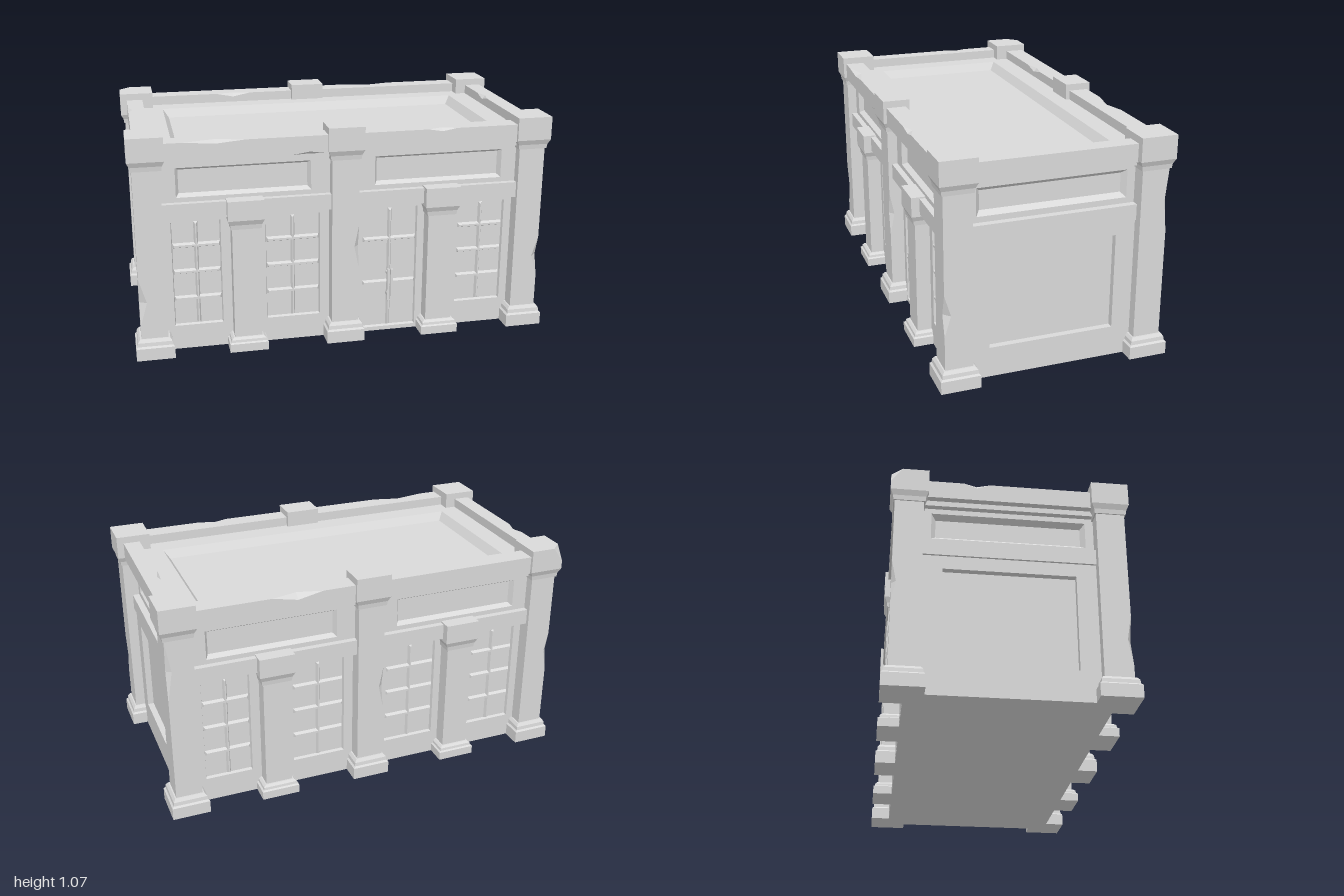
import * as THREE from 'three';
import { mergeGeometries } from 'three/addons/utils/BufferGeometryUtils.js';

const stone = new THREE.MeshStandardMaterial({ color: 0xd9d9d9 });
stone.name = 'stone grey';

function add(parent, name, geometry, x = 0, y = 0, z = 0) {
  const mesh = new THREE.Mesh(geometry, stone);
  mesh.name = name;
  mesh.position.set(x, y, z);
  parent.add(mesh);
  return mesh;
}

function box(parent, name, x0, x1, y0, y1, z0, z1) {
  return add(parent, name, new THREE.BoxGeometry(x1 - x0, y1 - y0, z1 - z0),
    (x0 + x1) / 2, (y0 + y1) / 2, (z0 + z1) / 2);
}

// Flat-shaded geometry from polygons, each a counter-clockwise list of points
function facets(polygons) {
  const pos = [];
  for (const p of polygons) {
    for (let i = 1; i < p.length - 1; i++) pos.push(...p[0], ...p[i], ...p[i + 1]);
  }
  const g = new THREE.BufferGeometry();
  g.setAttribute('position', new THREE.Float32BufferAttribute(pos, 3));
  g.computeVertexNormals();
  return g;
}

// Rectangular section w x d lofted along y through levels [y, margin].
// Each chip { sx, sz, at, half, cutX, cutZ } bites into one long edge.
function loft(levels, w, d, chips = []) {
  const rows = levels.map((l) => [...l]);
  for (const c of chips) {
    for (const y of [c.at - c.half, c.at, c.at + c.half]) {
      const i = rows.findIndex((r, k) => k > 0 && rows[k - 1][0] < y && y < r[0]);
      if (i < 0) continue;
      const [a, b] = [rows[i - 1], rows[i]];
      rows.splice(i, 0, [y, a[1] + (b[1] - a[1]) * (y - a[0]) / (b[0] - a[0])]);
    }
  }
  const corners = [[1, 1], [1, -1], [-1, -1], [-1, 1]];
  const rings = rows.map(([y, m]) => corners.flatMap(([sx, sz]) => {
    let cutX = 0, cutZ = 0;
    for (const c of chips) {
      if (c.sx !== sx || c.sz !== sz) continue;
      const bite = Math.max(0, 1 - Math.abs(y - c.at) / c.half);
      cutX += c.cutX * bite;
      cutZ += c.cutZ * bite;
    }
    const X = w / 2 + m, Z = d / 2 + m;
    const alongX = [sx * (X - cutX), y, sz * Z], alongZ = [sx * X, y, sz * (Z - cutZ)];
    return sx === sz ? [alongX, alongZ] : [alongZ, alongX];
  }));
  const polys = [[...rings[0]].reverse(), rings[rings.length - 1]];
  for (let k = 0; k < rings.length - 1; k++) {
    for (let i = 0; i < 8; i++) {
      const j = (i + 1) % 8;
      polys.push([rings[k][i], rings[k][j], rings[k + 1][j], rings[k + 1][i]]);
    }
  }
  return facets(polys);
}

// Wall face in the xy plane with recessed panels [x0, x1, y0, y1, bevel, depth]
function recessedFace(x0, x1, y0, y1, holes) {
  const rect = (a, b, c, d, z) => [[a, c, z], [b, c, z], [b, d, z], [a, d, z]];
  const path = (pts, T) => new T(pts.map((p) => new THREE.Vector2(p[0], p[1])));
  const shape = path(rect(x0, x1, y0, y1, 0), THREE.Shape);
  const polys = [];
  for (const [a, b, c, d, bevel, depth] of holes) {
    const outer = rect(a, b, c, d, 0);
    const inner = rect(a + bevel, b - bevel, c + bevel, d - bevel, -depth);
    shape.holes.push(path([...outer].reverse(), THREE.Path));
    polys.push(inner);
    for (let i = 0; i < 4; i++) {
      const j = (i + 1) % 4;
      polys.push([outer[i], outer[j], inner[j], inner[i]]);
    }
  }
  const flat = new THREE.ShapeGeometry(shape).toNonIndexed();
  flat.deleteAttribute('uv');
  return mergeGeometries([flat, facets(polys)]);
}

// Moulded foot and capital around a plain shaft
function columnLevels(foot, top, capHeight) {
  const under = top - capHeight;
  return [
    [0, 0.027], [foot * 0.6, 0.027], [foot * 0.68, 0.019], [foot * 0.86, 0.017], [foot, 0.007], [foot, 0],
    [under - 0.046, 0], [under - 0.046, 0.006], [under - 0.024, 0.009], [under, 0.02], [top, 0.02],
  ];
}

// Glazing bar with chamfered edges, facing +z
function glazingBar(parent, name, x, y, w, h) {
  const g = loft([[0, 0.003], [0.016, -0.004]], w, h).rotateX(Math.PI / 2);
  add(parent, name, g, x, y, 0.434);
}

// Long facade, facing +z
function facade(hasDoor) {
  const g = new THREE.Group();
  const windows = [[-0.81, -0.58], [-0.37, -0.11], [0.575, 0.81]];
  if (!hasDoor) windows.push([0.11, 0.37]);
  const openings = windows.map(([a, b]) => [a, b, 0.12, 0.64, 0.004, 0.016]);
  if (hasDoor) openings.push([0.1, 0.37, 0.02, 0.64, 0.004, 0.016]);
  add(g, 'lowerWall', recessedFace(-0.92, 0.92, 0, 0.67, openings), 0, 0, 0.45);
  add(g, 'upperWall', recessedFace(-0.9, 0.9, 0.74, 0.94, [
    [-0.78, -0.155, 0.765, 0.905, 0.014, 0.025], [0.15, 0.775, 0.765, 0.905, 0.014, 0.025],
  ]), 0, 0, 0.472);
  box(g, 'beam', -0.9, 0.9, 0.668, 0.743, 0.4, 0.5);
  box(g, 'corniceMoulding', -0.9, 0.9, 0.925, 0.95, 0.42, 0.495);

  for (const [a, b] of windows) {
    glazingBar(g, 'windowBar', (a + b) / 2, 0.38, 0.014, 0.505);
    for (const y of [0.255, 0.39, 0.52]) glazingBar(g, 'windowBar', (a + b) / 2, y, b - a - 0.014, 0.018);
  }
  if (hasDoor) {
    glazingBar(g, 'doorStile', 0.235, 0.33, 0.014, 0.605);
    for (const y of [0.255, 0.48]) glazingBar(g, 'doorRail', 0.235, y, 0.256, 0.016);
    for (const x of [0.227, 0.243]) {
      box(g, 'doorHandle', x - 0.006, x + 0.006, 0.17, 0.33, 0.462, 0.475);
      for (const y of [0.195, 0.305]) box(g, 'handleMount', x - 0.005, x + 0.005, y - 0.006, y + 0.006, 0.43, 0.465);
    }
  }

  // Short pilasters and the tall centre column
  for (const s of [-1, 1]) {
    add(g, 'pilaster', loft(columnLevels(0.068, 0.75, 0.094), 0.13, 0.09), s * 0.47, 0, 0.474);
  }
  add(g, 'centreColumn', loft(columnLevels(0.1, 1.068, 0.11), 0.13, 0.09, [
    { sx: 1, sz: 1, at: 0.48, half: 0.11, cutX: 0.022, cutZ: 0.022 },
  ]), 0, 0, 0.474);
  return g;
}

// Short end wall, facing +z
function endWall() {
  const g = new THREE.Group();
  add(g, 'endLowerWall', recessedFace(-0.45, 0.45, 0, 0.67, [[-0.297, 0.297, 0.145, 0.604, 0, 0.03]]), 0, 0, 0.925);
  add(g, 'endUpperWall', recessedFace(-0.44, 0.44, 0.74, 0.94, [[-0.35, 0.35, 0.77, 0.9, 0.02, 0.025]]), 0, 0, 0.903);
  box(g, 'endBeam', -0.43, 0.43, 0.668, 0.743, 0.86, 0.935);
  box(g, 'endCorniceMoulding', -0.43, 0.43, 0.925, 0.95, 0.86, 0.93);
  return g;
}

export function createModel() {
  const model = new THREE.Group();
  model.name = 'building';

  [['frontFacade', facade(true), 0], ['backFacade', facade(false), Math.PI],
    ['leftEnd', endWall(), Math.PI / 2], ['rightEnd', endWall(), -Math.PI / 2]].forEach(([name, g, turn]) => {
    g.name = name;
    g.rotation.y = turn;
    model.add(g);
  });

  // Corner columns with worn edges
  const wear = [
    [1, 1, [{ at: 0.36, half: 0.1, cutX: 0.03, cutZ: 0.03 }]],
    [-1, 1, [{ at: 0.28, half: 0.12, cutX: 0.035, cutZ: 0.02 }]],
    [1, -1, [{ at: 0.76, half: 0.15, cutX: 0.025, cutZ: 0.015 }]],
    [-1, -1, [{ at: 1.068, half: 0.07, cutX: 0.05, cutZ: 0.05 }, { at: 0.5, half: 0.1, cutX: 0.02, cutZ: 0.02 }]],
  ];
  for (const [sx, sz, chips] of wear) {
    const shaft = loft(columnLevels(0.1, 1.068, 0.11), 0.126, 0.13, chips.map((c) => ({ sx, sz, ...c })));
    add(model, 'cornerColumn', shaft, sx * 0.91, 0, sz * 0.453);
  }

  // Parapet; in the lying bars sx = -1 (long) or sz = -1 (short) is the top edge
  const longBar = (chips) => loft([[-0.9, 0], [0.9, 0]], 0.085, 0.095, chips).rotateZ(-Math.PI / 2);
  const shortBar = (chips) => loft([[-0.45, 0], [0.45, 0]], 0.08, 0.085, chips).rotateX(Math.PI / 2);
  add(model, 'frontParapet', longBar([
    { sx: -1, sz: 1, at: -0.6, half: 0.14, cutX: 0.012, cutZ: 0.035 },
    { sx: -1, sz: 1, at: 0.46, half: 0.07, cutX: 0.012, cutZ: 0.025 },
    { sx: 1, sz: 1, at: -0.17, half: 0.08, cutX: 0.012, cutZ: 0.012 },
  ]), 0, 0.9925, 0.4755);
  add(model, 'backParapet', longBar([
    { sx: -1, sz: 1, at: -0.4, half: 0.09, cutX: 0.018, cutZ: 0.018 },
    { sx: -1, sz: -1, at: 0.36, half: 0.12, cutX: 0.025, cutZ: 0.03 },
  ]), 0, 0.9925, -0.4755);
  add(model, 'leftParapet', shortBar([{ sx: -1, sz: -1, at: -0.1, half: 0.07, cutX: 0.018, cutZ: 0.018 }]), 0.92, 0.9925, 0);
  add(model, 'rightParapet', shortBar([{ sx: -1, sz: -1, at: -0.15, half: 0.06, cutX: 0.022, cutZ: 0.022 }]), -0.92, 0.9925, 0);

  // Sunken roof deck and floor
  const deck = recessedFace(-0.93, 0.93, -0.47, 0.47, [[-0.78, 0.775, -0.325, 0.33, 0.028, 0.04]]);
  add(model, 'roofDeck', deck.rotateX(-Math.PI / 2), 0, 0.99, 0);
  box(model, 'floor', -0.924, 0.924, 0, 0.012, -0.449, 0.449);
  return model;
}
